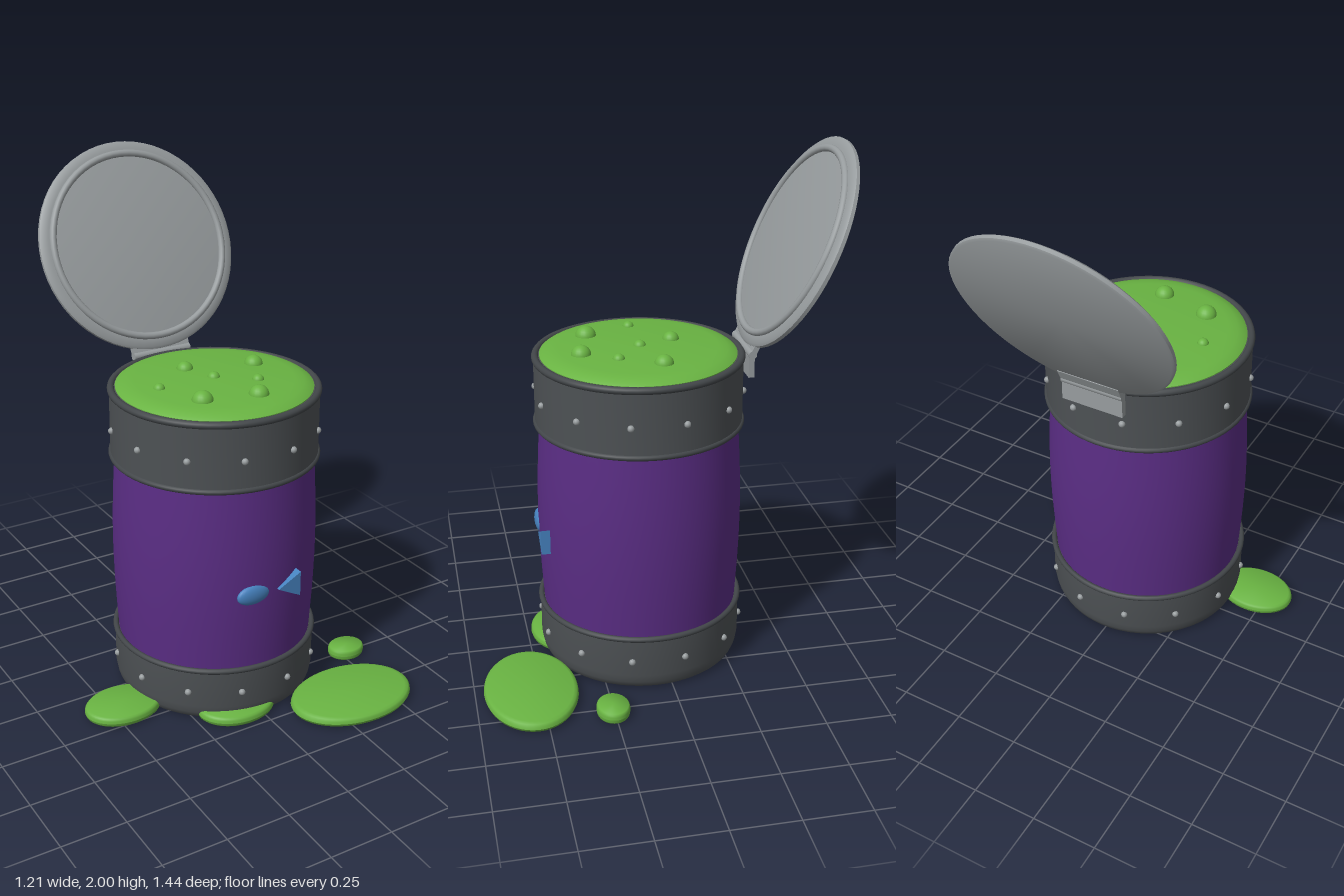
import * as THREE from 'three';
import { toCreasedNormals } from 'three/addons/utils/BufferGeometryUtils.js';

const mat = (name, color) => {
  const m = new THREE.MeshStandardMaterial({ color });
  m.name = name;
  return m;
};

export function createModel() {
  const purple = mat('purple', 0x5a2d84);
  const darkMetal = mat('dark metal', 0x4d5154);
  const ringMetal = mat('ring metal', 0x424649);
  const lightMetal = mat('light metal', 0x979c9e);
  const slimeGreen = mat('slime green', 0x69b342);
  const blue = mat('blue', 0x4682bf);

  const model = new THREE.Group();
  model.name = 'slimeBarrel';

  const add = (parent, name, geometry, material, x = 0, y = 0, z = 0) => {
    const mesh = new THREE.Mesh(geometry, material);
    mesh.name = name;
    mesh.position.set(x, y, z);
    parent.add(mesh);
    return mesh;
  };
  // Profiles run from bottom to top, on the outside
  const lathe = (points, segments = 64) => toCreasedNormals(
    new THREE.LatheGeometry(points.map(p => new THREE.Vector2(...p)), segments), 0.6);

  const barrel = new THREE.Group();
  barrel.name = 'barrel';
  barrel.position.set(0.01, 0, 0.055);
  model.add(barrel);

  // Bulging body
  const side = [];
  for (let i = 0; i <= 12; i++) {
    const t = i / 12;
    side.push([0.379 + 0.016 * Math.sin(Math.PI * t), 0.2 + 0.78 * t]);
  }
  add(barrel, 'body', lathe(side), purple);

  // Metal bands
  add(barrel, 'lowerBand', lathe([[0, 0], [0.37, 0], [0.382, 0.01], [0.39, 0.03], [0.395, 0.06],
    [0.395, 0.215], [0.375, 0.22]]), darkMetal);
  add(barrel, 'upperBand', lathe([[0.375, 0.965], [0.395, 0.965], [0.395, 1.225], [0.365, 1.23]]), darkMetal);

  // Rings on the band edges
  for (const [y, r, tube] of [[0.218, 0.392, 0.011], [0.967, 0.392, 0.011], [1.222, 0.388, 0.014]]) {
    add(barrel, 'ring', new THREE.TorusGeometry(r, tube, 12, 64), ringMetal, 0, y).rotation.x = Math.PI / 2;
  }

  // Rivets
  const rivet = new THREE.SphereGeometry(0.013, 12, 8);
  for (const y of [0.122, 1.082]) {
    for (let i = 0; i < 12; i++) {
      const a = (i + 0.5) * Math.PI / 6;
      add(barrel, 'rivet', rivet, lightMetal, 0.396 * Math.sin(a), y, 0.396 * Math.cos(a));
    }
  }

  // Slime filling and bubbles
  add(barrel, 'slime', lathe([[0.372, 1.2], [0.372, 1.232], [0.36, 1.24], [0.335, 1.249],
    [0.3, 1.254], [0, 1.256]]), slimeGreen);
  const bubbles = [[-0.04, -0.08, 0.032], [0.217, 0, 0.036], [-0.222, 0.05, 0.022], [0.01, 0.05, 0.024],
    [0.14, 0.153, 0.023], [-0.144, 0.23, 0.04], [0.063, 0.28, 0.038]];
  for (const [x, z, r] of bubbles) {
    add(model, 'bubble', new THREE.SphereGeometry(r, 20, 14), slimeGreen, x, 1.251, z);
  }

  // Puddles: rounded discs, stretched
  const puddle = (x, z, rx, rz) => {
    const g = lathe([[0, 0], [0.93, 0], [0.975, 0.006], [1, 0.017], [0.99, 0.027], [0.96, 0.034],
      [0.9, 0.038], [0, 0.039]], 48);
    add(model, 'puddle', g, slimeGreen, x, 0.002, z).scale.set(rx, 1, rz);
  };
  puddle(-0.455, 0.152, 0.155, 0.115);
  puddle(-0.075, 0.365, 0.16, 0.122);
  puddle(0.347, 0.54, 0.257, 0.178);
  puddle(0.527, 0.256, 0.077, 0.063);

  // Fish emblem
  add(model, 'fishBody', new THREE.SphereGeometry(1, 24, 16), blue, -0.05, 0.535, 0.44).scale.set(0.07, 0.04, 0.021);
  const tail = new THREE.Shape([[0.05, 0.535], [0.146, 0.485], [0.146, 0.585]].map(p => new THREE.Vector2(...p)));
  add(model, 'fishTail', new THREE.ExtrudeGeometry(tail, { depth: 0.035, bevelEnabled: false }), blue, 0, 0, 0.425);

  // Open lid, tilted back; its local y is the inner face
  const lid = new THREE.Group();
  lid.name = 'lid';
  lid.position.set(0.01, 1.62, -0.537);
  lid.rotation.x = 1.125;
  model.add(lid);
  add(lid, 'lidDisc', lathe([[0, -0.014], [0.408, -0.014], [0.417, -0.009], [0.417, 0.005],
    [0.408, 0.012], [0.385, 0.016], [0, 0.016]]), lightMetal);
  add(lid, 'lidLip', new THREE.TorusGeometry(0.366, 0.014, 12, 64), lightMetal, 0, 0.018).rotation.x = Math.PI / 2;

  // Hinge
  const hinge = new THREE.Group();
  hinge.name = 'hinge';
  hinge.position.set(0.01, 0, -0.352);
  model.add(hinge);
  add(hinge, 'barrelLeaf', new THREE.BoxGeometry(0.25, 0.08, 0.022), lightMetal, 0, 1.18, 0);
  add(hinge, 'hingePin', new THREE.CylinderGeometry(0.016, 0.016, 0.25, 20), lightMetal, 0, 1.228, -0.004)
    .rotation.z = Math.PI / 2;
  add(hinge, 'lidLeaf', new THREE.BoxGeometry(0.25, 0.06, 0.02), lightMetal, 0, 1.255, -0.018)
    .rotation.x = 1.125 - Math.PI / 2;

  return model;
}
